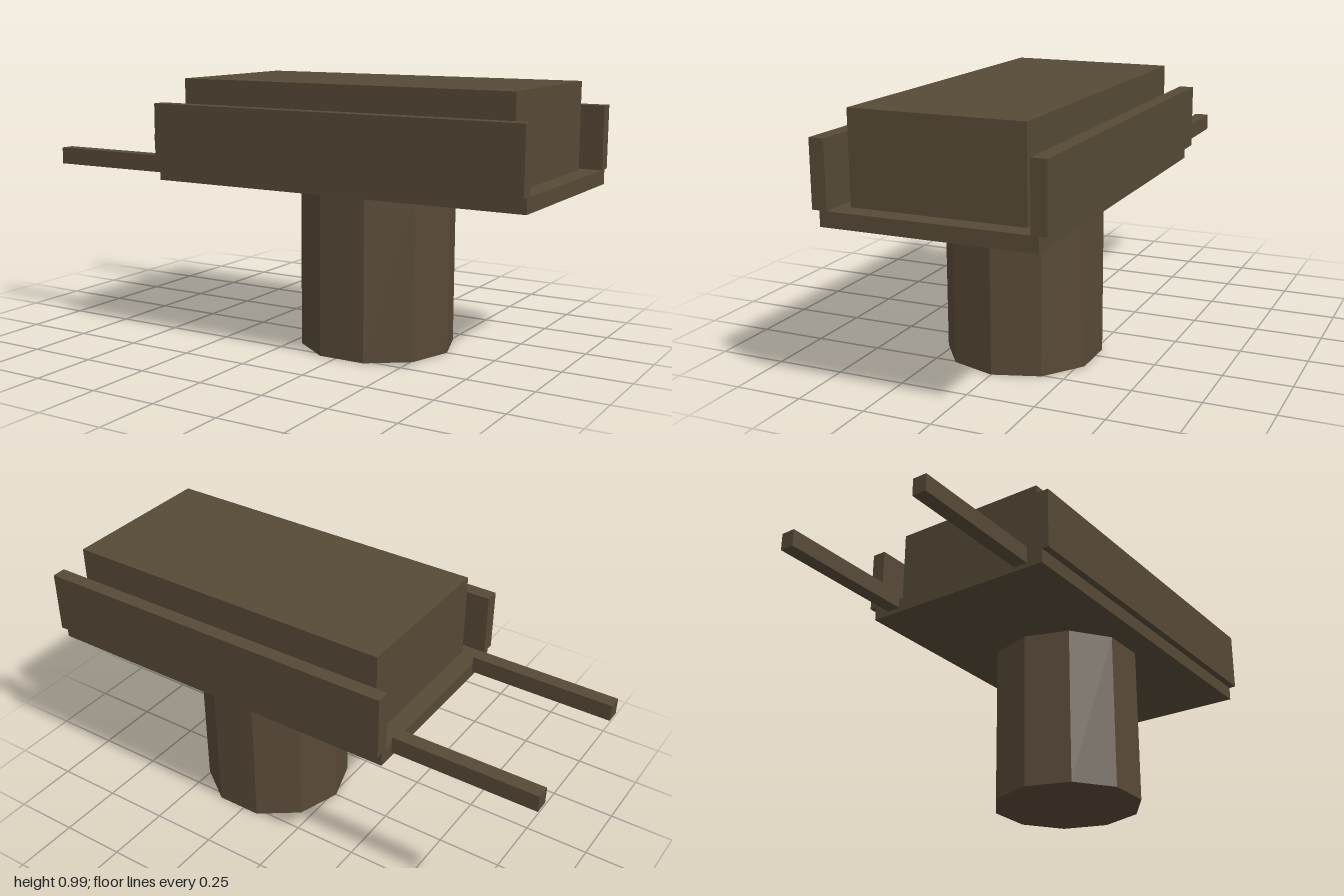
import * as THREE from 'three';

export function createModel() {
  const model = new THREE.Group();
  const wood = new THREE.MeshStandardMaterial({ color: 0x564936 });
  wood.name = 'dark wood';
  const bark = new THREE.MeshStandardMaterial({ color: 0x584937, flatShading: true });
  bark.name = 'warm dark wood';

  // Adds a box given its extents along each axis
  function box(name, [x0, x1], [y0, y1], [z0, z1]) {
    const mesh = new THREE.Mesh(new THREE.BoxGeometry(x1 - x0, y1 - y0, z1 - z0), wood);
    mesh.position.set((x0 + x1) / 2, (y0 + y1) / 2, (z0 + z1) / 2);
    mesh.name = name;
    model.add(mesh);
  }

  // Ten-sided support with corners on the x axis
  const height = 0.61;
  const pedestal = new THREE.Mesh(
    new THREE.CylinderGeometry(0.288, 0.288, height, 10, 1, false, Math.PI / 2), bark);
  pedestal.position.set(0.274, height / 2, 0);
  pedestal.name = 'pedestal';
  model.add(pedestal);

  // Tray and the load resting on it
  box('tray', [-0.45, 1], [0.61, 0.664], [-0.38, 0.38]);
  box('load', [-0.38, 0.927], [0.664, 0.987], [-0.31, 0.31]);

  // Side boards and handles, mirrored front to back
  for (const [side, s] of [['front', 1], ['back', -1]]) {
    const span = (a, b) => (s > 0 ? [a, b] : [-b, -a]);
    box(side + 'SideBoard', [-0.45, 1], [0.664, 0.898], span(0.353, 0.407));
    box(side + 'Handle', [-1, -0.45], [0.627, 0.691], span(0.263, 0.317));
  }
  return model;
}
